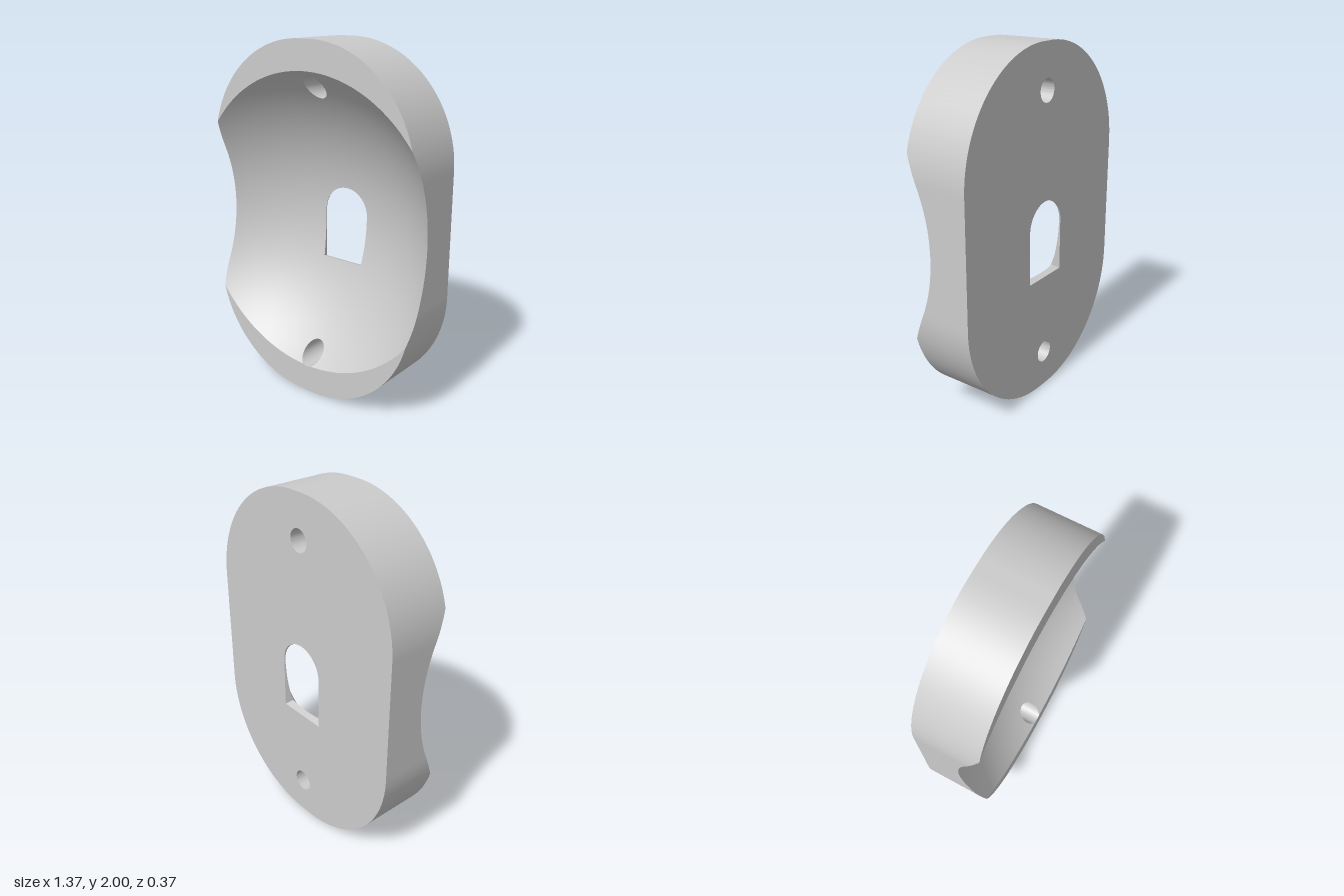
import * as THREE from 'three';
import { toCreasedNormals } from 'three/addons/utils/BufferGeometryUtils.js';

const FRONT = 0.185, BACK = -0.185;
const HALF_W = 0.685, CORNER = 0.65, FLAT = HALF_W - CORNER;
const DISH_R = 1.1286, DISH_Z = 0.941, RIM = 0.838;   // spherical hollow
const HOLE_R = 0.064, HOLES = [0.22, 1.75];           // screw holes
const KEY_R = 0.148, KEY_IN = 0.135, KEY_H = 0.285;   // arched slot

const clamp = THREE.MathUtils.clamp;
const half = (r, x) => Math.sqrt(Math.max(0, r * r - x * x));
const outlineTop = x => 2 - CORNER + half(CORNER, Math.max(0, Math.abs(x) - FLAT));
const dishZ = (x, y) => DISH_Z - Math.sqrt(DISH_R ** 2 - x * x - (y - 1) ** 2);
const surfaceZ = (x, y) => Math.min(FRONT, dishZ(x, y));

// Lower edge of the slot, whose sides draw in slightly towards the front
function slotBottom(x) {
  const a = Math.abs(x);
  if (a >= KEY_R) return 1;
  if (a > KEY_IN) return 1 - KEY_H * Math.sqrt((KEY_R - a) / (KEY_R - KEY_IN));
  return 0.71 + 0.005 * (a / KEY_IN) ** 2;
}

// Columns across the plate, with extra ones where an edge curves or ends
function columns() {
  const xs = [0, KEY_IN];
  for (let i = 1; i <= 40; i++) {
    const s = Math.sin((i / 40) * Math.PI / 2);
    xs.push(FLAT + CORNER * s);
    if (i % 2 === 0) xs.push(HOLE_R * s, KEY_R * s);
    if (i % 4 === 0) xs.push(KEY_IN + (KEY_R - KEY_IN) * i / 40);
  }
  let lo = 0.5, hi = HALF_W;                          // where rim meets outline
  for (let i = 0; i < 30; i++) {
    const m = (lo + hi) / 2;
    if (1 + half(RIM, m) > outlineTop(m)) hi = m; else lo = m;
  }
  xs.push(lo);
  xs.sort((a, b) => a - b);
  const right = xs.filter((x, i) => i === 0 || x - xs[i - 1] > 1e-5);
  return [...right.slice(1).reverse().map(x => -x), ...right];
}

// Solid stretches of one column: [from, to, steps, isDish]
function stretches(x) {
  const top = outlineTop(x), bottom = 2 - top;
  const rimTop = Math.min(top, 1 + half(RIM, x));
  let rimLow = Math.max(bottom, 1 - half(RIM, x));
  const h = half(HOLE_R, x);
  if (h > 0) rimLow = Math.min(rimLow, HOLES[0] - h);
  const c = y => clamp(y, rimLow, rimTop);
  return [
    [bottom, rimLow, 1, false],
    [rimLow, c(HOLES[0] - h), 4, true],
    [c(HOLES[0] + h), slotBottom(x), 24, true],
    [1 + half(KEY_R, x), c(HOLES[1] - h), 24, true],
    [c(HOLES[1] + h), rimTop, 4, true],
    [rimTop, top, 1, false],
  ];
}

// Front: flat ends and hollow, with exact normals
function frontGeometry(xs) {
  const pos = [], nor = [];
  const put = (p, dish) => {
    const z = dish ? surfaceZ(...p) : FRONT;
    pos.push(p[0], p[1], z);
    if (dish) nor.push(-p[0] / DISH_R, (1 - p[1]) / DISH_R, (DISH_Z - z) / DISH_R);
    else nor.push(0, 0, 1);
  };
  for (let i = 0; i + 1 < xs.length; i++) {
    const A = stretches(xs[i]), B = stretches(xs[i + 1]);
    A.forEach(([a0, a1, n, dish], k) => {
      const [b0, b1] = B[k];
      if (a1 - a0 < 1e-7 && b1 - b0 < 1e-7) return;
      for (let j = 0; j < n; j++) {
        const at = (x, y0, y1, t) => [x, y0 + (y1 - y0) * t];
        const p = at(xs[i], a0, a1, j / n), q = at(xs[i + 1], b0, b1, j / n);
        const r = at(xs[i + 1], b0, b1, (j + 1) / n), s = at(xs[i], a0, a1, (j + 1) / n);
        for (const v of [p, q, r, p, r, s]) put(v, dish);
      }
    });
  }
  const g = new THREE.BufferGeometry();
  g.setAttribute('position', new THREE.Float32BufferAttribute(pos, 3));
  g.setAttribute('normal', new THREE.Float32BufferAttribute(nor, 3));
  return g;
}

// Wall from a loop on the front surface to a matching loop on the back
function wallGeometry(front, back) {
  const pos = [], n = front.length;
  for (let i = 0; i < n; i++) {
    const k = (i + 1) % n;
    const f = p => [p[0], p[1], surfaceZ(p[0], p[1])], b = p => [p[0], p[1], BACK];
    pos.push(...f(front[i]), ...b(back[i]), ...f(front[k]));
    pos.push(...b(back[i]), ...b(back[k]), ...f(front[k]));
  }
  const g = new THREE.BufferGeometry();
  g.setAttribute('position', new THREE.Float32BufferAttribute(pos, 3));
  return toCreasedNormals(g, Math.PI / 6);
}

function outlineLoop(xs) {
  const loop = xs.map(x => [x, 2 - outlineTop(x)]);
  const side = [];
  for (let i = 1; i < 30; i++) side.push(CORNER + (2 - 2 * CORNER) * i / 30);
  side.forEach(y => loop.push([HALF_W, y]));
  [...xs].reverse().forEach(x => loop.push([x, outlineTop(x)]));
  side.reverse().forEach(y => loop.push([-HALF_W, y]));
  return loop;
}

function circleLoop(cy) {
  return Array.from({ length: 80 }, (_, i) => {
    const a = (i / 80) * Math.PI * 2;
    return [HOLE_R * Math.cos(a), cy + HOLE_R * Math.sin(a)];
  });
}

// Arched slot: matching front and back loops
function slotLoops() {
  const front = [], back = [], N = 20;
  for (let i = 0; i <= 40; i++) {
    const a = (i / 40) * Math.PI, c = Math.cos(a), s = Math.sin(a);
    front.push([KEY_R * c, 1 + KEY_R * s]);
    back.push([0.15 * c, 1 + 0.15 * s]);
  }
  const side = (t, sign) => {
    front.push([sign * (KEY_R - (KEY_R - KEY_IN) * t * t), 1 - KEY_H * t]);
    back.push([sign * 0.15, 1 - 0.3 * t]);
  };
  for (let i = 1; i <= N; i++) side(i / N, -1);
  for (let i = 1; i < N; i++) {
    const u = -1 + 2 * i / N;
    front.push([KEY_IN * u, slotBottom(KEY_IN * u)]);
    back.push([0.15 * u, 0.7]);
  }
  for (let i = N; i >= 1; i--) side(i / N, 1);
  return [front, back];
}

export function createModel() {
  const group = new THREE.Group();
  group.name = 'dishedPlate';
  const material = new THREE.MeshStandardMaterial({ color: 0xcccccc });
  const add = (name, geometry) => {
    const mesh = new THREE.Mesh(geometry, material);
    mesh.name = name;
    group.add(mesh);
  };
  const xs = columns(), outline = outlineLoop(xs);
  const [slotFront, slotBack] = slotLoops();
  const holes = HOLES.map(circleLoop);

  add('dishedFront', frontGeometry(xs));
  add('outerWall', wallGeometry(outline, outline));

  // Openings run the other way round so their walls face inwards
  const rev = loop => [...loop].reverse();
  add('slotWall', wallGeometry(rev(slotFront), rev(slotBack)));
  holes.forEach((h, i) => add(i ? 'upperScrewHole' : 'lowerScrewHole', wallGeometry(rev(h), rev(h))));

  // Flat back, turned to face -z
  const vec = loop => loop.map(p => new THREE.Vector2(p[0], p[1]));
  const shape = new THREE.Shape(vec(outline));
  shape.holes = [slotBack, ...holes].map(l => new THREE.Path(vec(l)));
  add('flatBack', new THREE.ShapeGeometry(shape).rotateY(Math.PI).translate(0, 0, BACK));
  return group;
}
